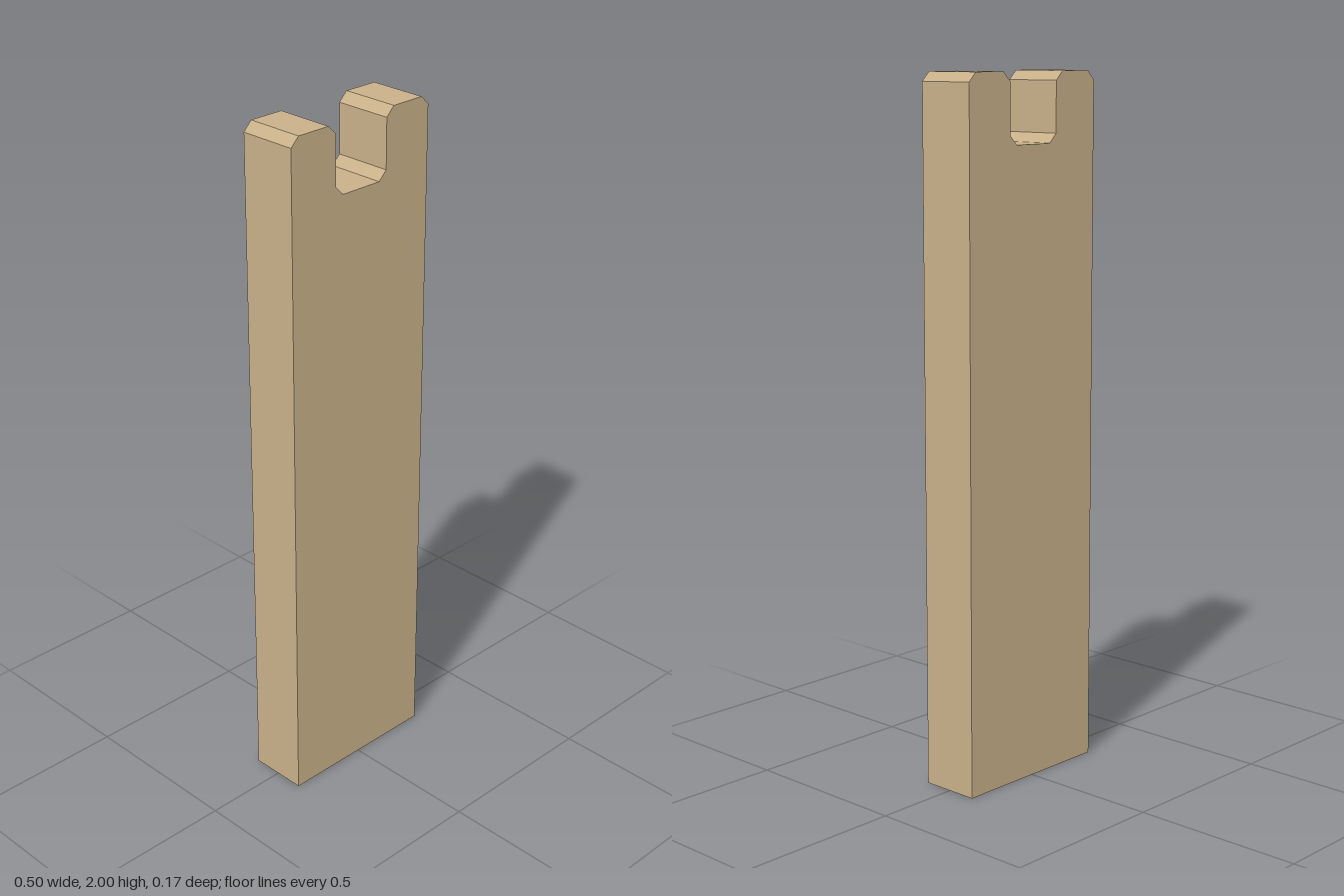
import * as THREE from 'three';

const HALF_WIDTH = 0.249, HEIGHT = 2, DEPTH = 0.174;
const SLOT_HALF = 0.092, SLOT_FLOOR = 1.805, CHAMFER = 0.026;

export function createModel() {
  const group = new THREE.Group();
  group.name = 'notchedPost';

  // Right-hand half of the outline, from the foot up and into the slot
  const half = [
    [HALF_WIDTH, 0],
    [HALF_WIDTH, HEIGHT - CHAMFER],
    [HALF_WIDTH - CHAMFER, HEIGHT],
    [SLOT_HALF + CHAMFER, HEIGHT],
    [SLOT_HALF, HEIGHT - CHAMFER],
    [SLOT_HALF, SLOT_FLOOR + CHAMFER],
    [SLOT_HALF - CHAMFER, SLOT_FLOOR],
  ];
  // Mirror it to close the outline
  const mirrored = half.map(([x, y]) => [-x, y]).reverse();
  const outline = [...half, ...mirrored].map(([x, y]) => new THREE.Vector2(x, y));

  // Plank with a chamfered slot in its top end
  const geometry = new THREE.ExtrudeGeometry(new THREE.Shape(outline), { depth: DEPTH, bevelEnabled: false });
  geometry.translate(0, 0, -DEPTH / 2);

  const wood = new THREE.MeshStandardMaterial({ color: 0xc8b088, flatShading: true });
  const plank = new THREE.Mesh(geometry, wood);
  plank.name = 'plank';
  group.add(plank);
  return group;
}
